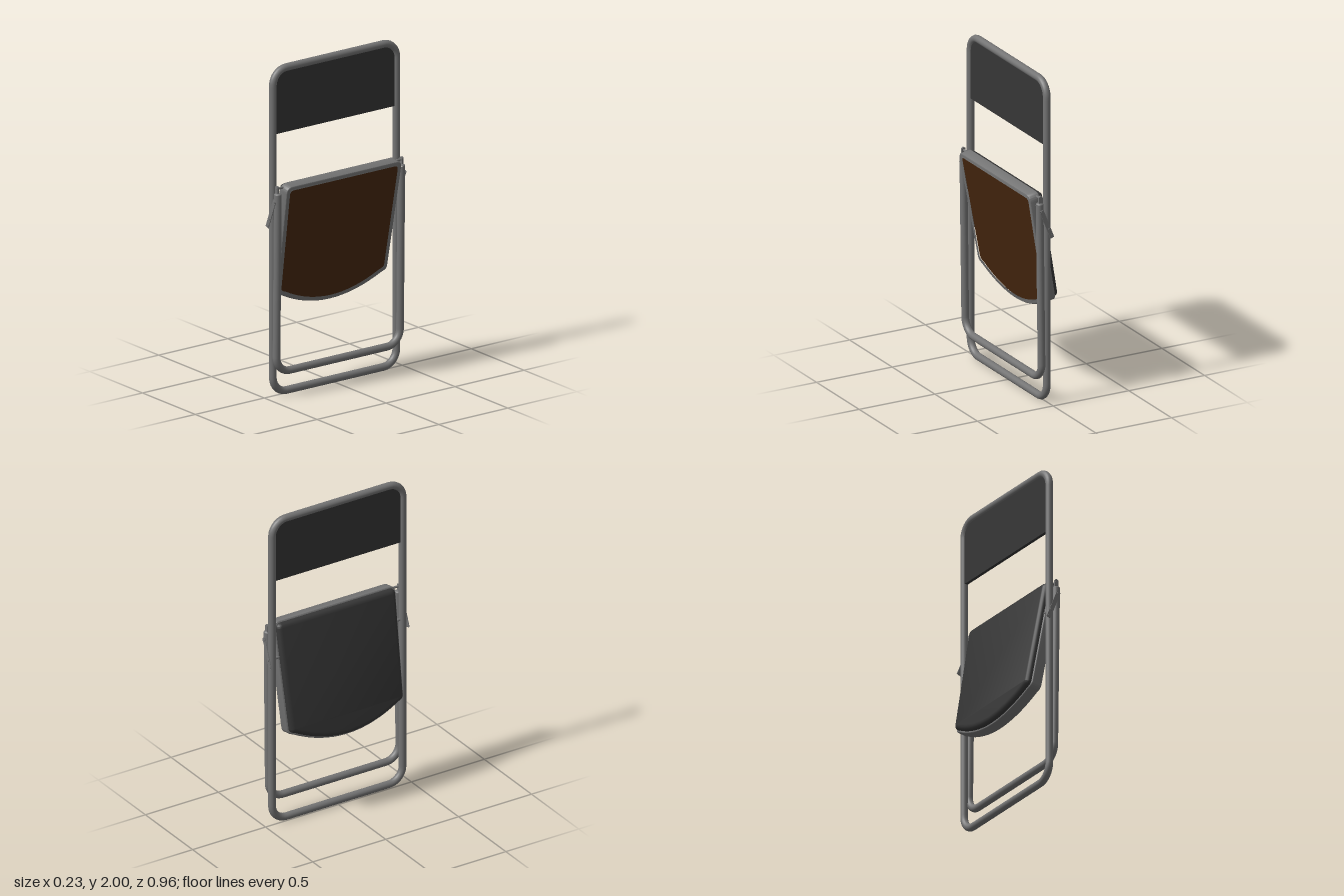
import * as THREE from 'three';
import { toCreasedNormals } from 'three/addons/utils/BufferGeometryUtils.js';

const mat = (name, color) => {
  const m = new THREE.MeshStandardMaterial({ color });
  m.name = name;
  return m;
};

// Path through corner points, with each corner rounded
function roundedPath(pts, r, closed) {
  const path = new THREE.CurvePath();
  const n = pts.length;
  const toward = (a, b, d) => a.clone().add(b.clone().sub(a).setLength(d));
  const start = closed ? toward(pts[0], pts[1], r) : pts[0].clone();
  let cur = start;
  for (let i = 1; i < (closed ? n + 1 : n - 1); i++) {
    const p = pts[i % n], prev = pts[i - 1], next = pts[(i + 1) % n];
    const a = toward(p, prev, r), b = toward(p, next, r);
    path.add(new THREE.LineCurve3(cur, a));
    path.add(new THREE.CubicBezierCurve3(a, a.clone().lerp(p, 0.55), b.clone().lerp(p, 0.55), b));
    cur = b;
  }
  if (!closed) path.add(new THREE.LineCurve3(cur, pts[n - 1].clone()));
  return path;
}

// Seat outline (across, along): straight top, tapering sides, bowed front edge
function seatOutline(i, Type = THREE.Shape) {
  const s = new Type();
  const w = 0.42 - i, t = 0.393 - i, r = Math.max(0.045 - i * 0.5, 0.015);
  const wb = 0.402 - i, yb = -0.285 + i * 0.6, low = -0.416 + i;
  const end = -0.318 + i * 0.8;
  s.moveTo(-w + r, t);
  s.lineTo(w - r, t);
  s.quadraticCurveTo(w, t, w, t - r);
  s.lineTo(wb, yb);
  s.quadraticCurveTo(wb - 0.003, end + 0.008, wb - 0.035, end);
  s.quadraticCurveTo(0, 2 * low - end, -wb + 0.035, end);
  s.quadraticCurveTo(-wb + 0.003, end + 0.008, -wb, yb);
  s.lineTo(-w, t - r);
  s.quadraticCurveTo(-w, t, -w + r, t);
  return s;
}

// Extrude a shape along +x from x0 to x1, with an optional bevel inside that span
function slab(shape, x0, x1, bevel = 0) {
  const g = new THREE.ExtrudeGeometry(shape, {
    depth: x1 - x0 - 2 * bevel, curveSegments: 16, bevelEnabled: bevel > 0,
    bevelThickness: bevel, bevelSize: bevel, bevelOffset: -bevel, bevelSegments: 4,
  });
  g.translate(0, 0, x0 + bevel);
  g.rotateY(Math.PI / 2);
  return toCreasedNormals(g, 0.6);
}

export function createModel() {
  const root = new THREE.Group();
  root.name = 'foldingChair';
  const metal = mat('grey metal', 0x747474);
  const padding = mat('dark padding', 0x363636);
  const wood = mat('brown board', 0x45260e);
  const add = (parent, name, geo, material) => {
    const m = new THREE.Mesh(geo, material);
    m.name = name;
    parent.add(m);
    return m;
  };
  const v = (x, y, z) => new THREE.Vector3(x, y, z);
  const R = 0.0225, Z = 0.4475;

  // Main tubular loop
  const loop = roundedPath([v(0.0125, R, -Z), v(0.0125, R, Z), v(0.0125, 2 - R, Z), v(0.0125, 2 - R, -Z)], 0.095, true);
  add(root, 'mainFrame', new THREE.TubeGeometry(loop, 280, R, 16, true), metal);

  // Rear U-shaped leg
  const u = roundedPath([v(0.06, 1.235, -Z), v(0.046, 0.153, -Z), v(0.046, 0.153, Z), v(0.06, 1.235, Z)], 0.095, false);
  add(root, 'rearLeg', new THREE.TubeGeometry(u, 220, R, 16, false), metal);

  // Backrest panel with rounded upper corners
  const b = new THREE.Shape();
  const bw = 0.445, top = 1.975, r = 0.09;
  b.moveTo(-bw, 1.59);
  b.lineTo(bw, 1.59);
  b.lineTo(bw, top - r);
  b.absarc(bw - r, top - r, r, 0, Math.PI / 2, false);
  b.absarc(-bw + r, top - r, r, Math.PI / 2, Math.PI, false);
  b.lineTo(-bw, 1.59);
  add(root, 'backrest', slab(b, 0.0025, 0.0225), padding);

  // Folded seat, tilted ten degrees
  const seat = new THREE.Group();
  seat.name = 'seat';
  seat.position.set(0.042, 0.9, 0);
  seat.rotation.z = -0.174;
  root.add(seat);
  const rim = seatOutline(0.004);
  rim.holes.push(seatOutline(0.024, THREE.Path));
  add(seat, 'seatRim', slab(rim, -0.066, 0, 0.006), metal);
  add(seat, 'seatBoard', slab(seatOutline(0.022), -0.03, -0.007), wood);
  add(seat, 'seatCushion', slab(seatOutline(0.014), -0.096, -0.04, 0.028), padding);

  // Hinges on both sides
  for (const s of [-1, 1]) {
    const hinge = new THREE.Group();
    hinge.name = s > 0 ? 'leftHinge' : 'rightHinge';
    root.add(hinge);
    const pin = (name, x, y, z, rad, len) => {
      const m = add(hinge, name, new THREE.CylinderGeometry(rad, rad, len, 14), metal);
      m.rotation.x = Math.PI / 2;
      m.position.set(x, y, z * s);
    };
    // Closed leg end and flattened tab
    const cap = add(hinge, 'legCap', new THREE.SphereGeometry(R, 16, 8, 0, Math.PI * 2, 0, Math.PI / 2), metal);
    cap.scale.y = 0.5;
    cap.position.set(0.06, 1.235, Z * s);
    add(hinge, 'legTab', new THREE.BoxGeometry(0.024, 0.045, 0.012), metal).position.set(0.057, 1.255, 0.452 * s);
    pin('tabEnd', 0.057, 1.277, 0.452, 0.012, 0.012);
    pin('seatPin', 0.057, 1.272, 0.434, 0.007, 0.05);
    pin('framePin', 0.0125, 1.08, 0.425, 0.009, 0.05);
    // Slanted link plate on the outside
    const link = add(hinge, 'linkPlate', new THREE.BoxGeometry(0.026, 0.19, 0.005), metal);
    link.position.set(0.026, 1.115, 0.472 * s);
    link.rotation.z = -0.38;
    pin('upperBolt', 0.058, 1.192, 0.467, 0.01, 0.022);
    pin('lowerBolt', -0.004, 1.04, 0.472, 0.009, 0.01);
    pin('middleBolt', 0.0125, 1.08, 0.467, 0.009, 0.022);
  }
  return root;
}
